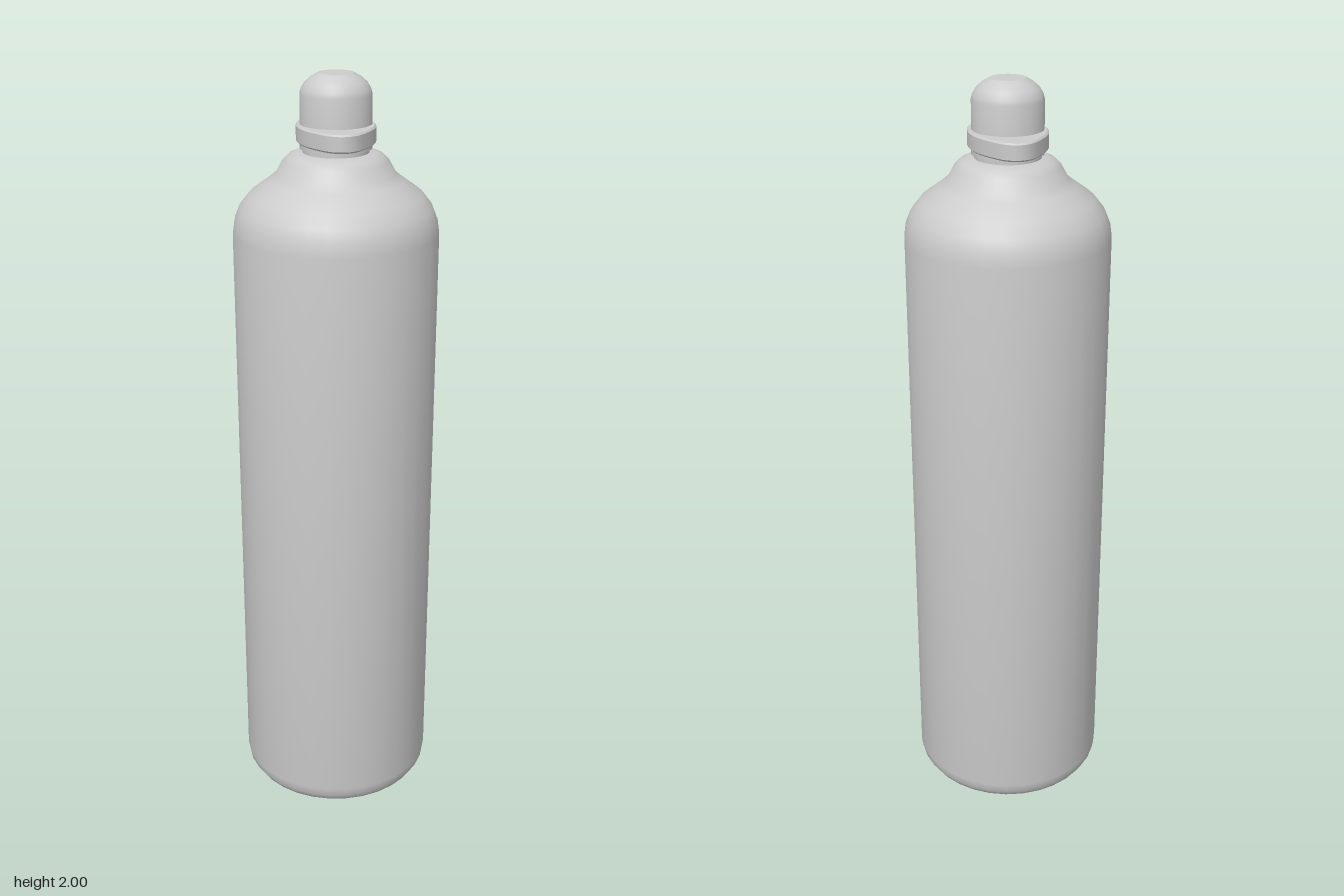
import * as THREE from 'three';
import { toCreasedNormals } from 'three/addons/utils/BufferGeometryUtils.js';

const material = new THREE.MeshStandardMaterial({ color: 0xcccccc });

function addPart(group, name, geometry, crease) {
  const mesh = new THREE.Mesh(toCreasedNormals(geometry, crease), material);
  mesh.name = name;
  group.add(mesh);
  return mesh;
}

function lathe(points) {
  return new THREE.LatheGeometry(points.map(([r, y]) => new THREE.Vector2(r, y)), 32);
}

export function createModel() {
  const group = new THREE.Group();
  group.name = 'bottle';

  // Body with rounded base and stepped shoulder
  addPart(group, 'body', lathe([
    [0, 0], [0.19, 0], [0.215, 0.01], [0.243, 0.03], [0.256, 0.05], [0.26, 0.075],
    [0.26, 1.61], [0.255, 1.645], [0.243, 1.675], [0.217, 1.708], [0.17, 1.742],
    [0.15, 1.758], [0.133, 1.788], [0.118, 1.803], [0.1, 1.81], [0, 1.81],
  ]), 0.7);

  // Neck collar between shoulder and flange
  addPart(group, 'neck', lathe([
    [0.083, 1.8], [0.083, 1.82], [0.09, 1.82], [0.09, 1.84],
  ]), 0.6);

  // Domed cap with flat top
  addPart(group, 'cap', lathe([
    [0.089, 1.83], [0.089, 1.95], [0.086, 1.962], [0.077, 1.977],
    [0.062, 1.99], [0.044, 2], [0, 2],
  ]), 0.5);

  // Eye-shaped finger flange around the cap base
  const outline = new THREE.Shape();
  outline.moveTo(0.094, 0);
  for (const [sx, sz] of [[1, 1], [-1, -1]]) {
    outline.bezierCurveTo(sx * 0.094, sz * 0.05, sx * 0.075, sz * 0.085, sx * 0.045, sz * 0.126);
    outline.bezierCurveTo(sx * 0.018, sz * 0.162, -sx * 0.018, sz * 0.162, -sx * 0.045, sz * 0.126);
    outline.bezierCurveTo(-sx * 0.075, sz * 0.085, -sx * 0.094, sz * 0.05, -sx * 0.094, 0);
  }
  const flange = new THREE.ExtrudeGeometry(outline, {
    depth: 0.036, curveSegments: 10,
    bevelThickness: 0.004, bevelSize: 0.004, bevelSegments: 1,
  });
  flange.rotateX(-Math.PI / 2);
  flange.translate(0, 1.839, 0);
  addPart(group, 'flange', flange, 0.6);

  return group;
}
